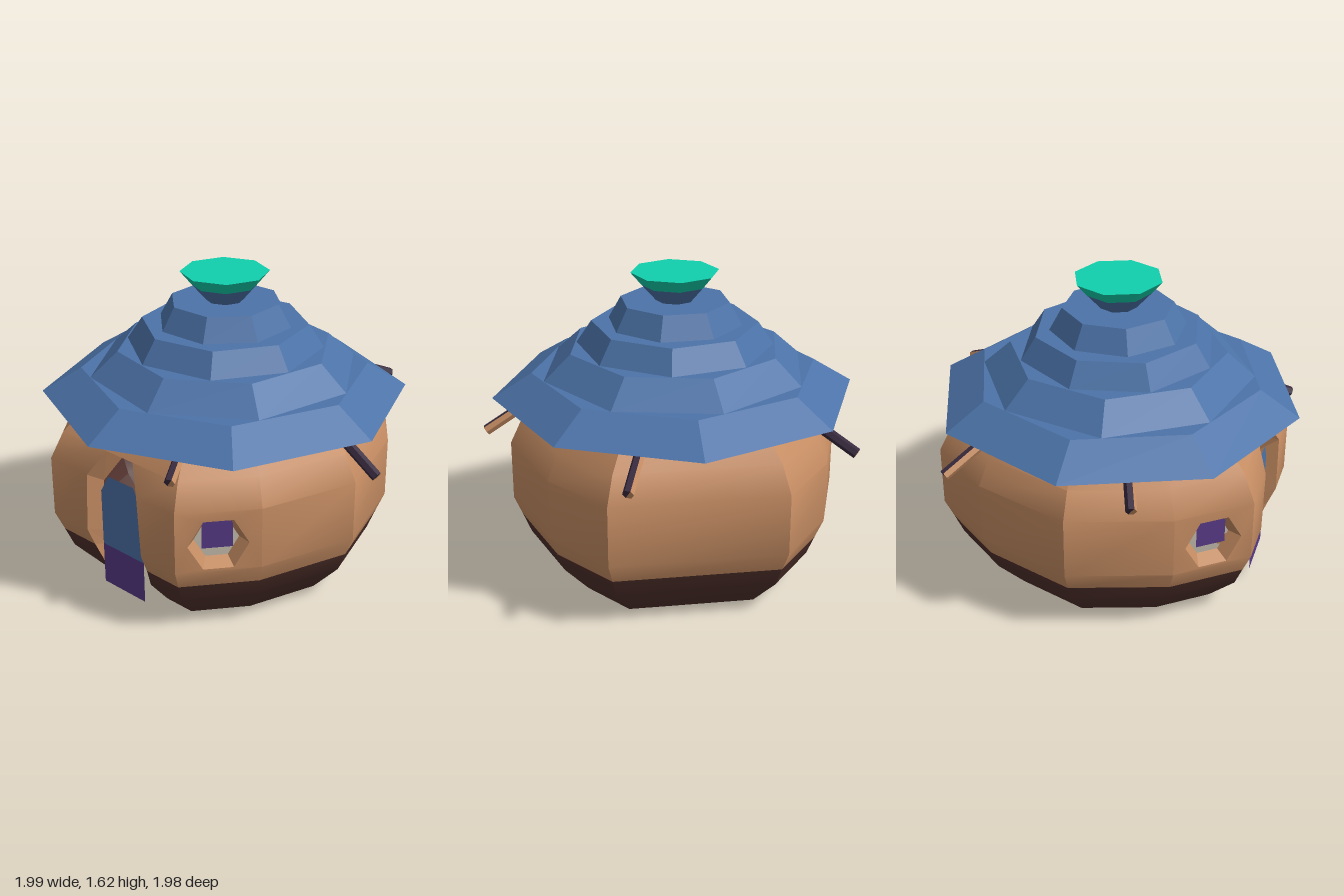
import * as THREE from 'three';
import { toCreasedNormals } from 'three/addons/utils/BufferGeometryUtils.js';

const mat = (name, color, extra = {}) => {
  const m = new THREE.MeshStandardMaterial({ color, ...extra });
  m.name = name;
  return m;
};

const V = (x, y, z) => new THREE.Vector3(x, y, z);

// Adds a quad, corners counter-clockwise from outside
const quad = (out, a, b, c, d) => {
  for (const p of [a, b, c, a, c, d]) out.push(p.x, p.y, p.z);
};

const fromPositions = (pos) => {
  const g = new THREE.BufferGeometry();
  g.setAttribute('position', new THREE.Float32BufferAttribute(pos, 3));
  g.computeVertexNormals();
  return g;
};

// Strip of flat faces joining two outlines
const rim = (outer, inner, closed) => {
  const pos = [];
  const n = outer.length;
  for (let i = 0; i < (closed ? n : n - 1); i++) {
    const j = (i + 1) % n;
    quad(pos, outer[i], outer[j], inner[j], inner[i]);
  }
  return fromPositions(pos);
};

const hexagon = (r, y, z) => Array.from({ length: 6 }, (_, i) =>
  V(r * Math.cos(i * Math.PI / 3), y + r * Math.sin(i * Math.PI / 3), z));

// Ground plan of the wall, from the front corner round to the right and back
const PLAN = [[-0.45, 0.845], [0.45, 0.845], [0.715, 0.51], [0.885, 0], [0.715, -0.51],
  [0.45, -0.845], [-0.45, -0.845], [-0.715, -0.51], [-0.885, 0], [-0.715, 0.51]];
// Wall rings: height, scale of the plan, half width of the doorway
const RINGS = [[0, 0.725, 0.14], [0.17, 0.9, 0.175], [0.28, 0.95, 0.195], [0.385, 1, 0.2],
  [0.71, 1, 0.18], [0.85, 0.925, 0.095], [0.99, 0.77, 0]];
const BASE_BANDS = 2, WINDOW_BAND = 3, DOOR_X = 0.01, WINDOW_Y = 0.53, WINDOW_R = 0.152;
const WINDOW_SIDES = [1, 9];

// Placement of a wall side: x along the wall, y up, z outward
function sideFrame(i) {
  const [ax, az] = PLAN[i], [bx, bz] = PLAN[(i + 1) % PLAN.length];
  const u = V(bx - ax, 0, bz - az);
  const width = u.length();
  u.normalize();
  const up = V(0, 1, 0);
  const matrix = new THREE.Matrix4().makeBasis(u, up, u.clone().cross(up));
  matrix.setPosition((ax + bx) / 2, 0, (az + bz) / 2);
  return { matrix, width };
}

// Flat wall panel with a six-sided hole
function windowPanel(out, i, y0, y1) {
  const { matrix, width } = sideFrame(i);
  const w = width / 2;
  const shape = new THREE.Shape([[-w, y0], [w, y0], [w, y1], [-w, y1]].map((p) => new THREE.Vector2(...p)));
  shape.holes.push(new THREE.Path(hexagon(WINDOW_R, WINDOW_Y, 0).map((p) => new THREE.Vector2(p.x, p.y)).reverse()));
  const g = new THREE.ShapeGeometry(shape).toNonIndexed().applyMatrix4(matrix);
  for (const v of g.attributes.position.array) out.push(v);
}

function wallGeometry() {
  const pos = [];
  let baseCount = 0;
  for (let k = 0; k < RINGS.length - 1; k++) {
    const [y0, s0, d0] = RINGS[k], [y1, s1, d1] = RINGS[k + 1];
    PLAN.forEach(([ax, az], i) => {
      const [bx, bz] = PLAN[(i + 1) % PLAN.length];
      const a0 = V(ax * s0, y0, az * s0), b0 = V(bx * s0, y0, bz * s0);
      const a1 = V(ax * s1, y1, az * s1), b1 = V(bx * s1, y1, bz * s1);
      if (i === 0 && d1 > 0) {
        // Wall on both sides of the doorway
        quad(pos, a0, V(DOOR_X - d0, y0, az * s0), V(DOOR_X - d1, y1, az * s1), a1);
        quad(pos, V(DOOR_X + d0, y0, az * s0), b0, b1, V(DOOR_X + d1, y1, az * s1));
      } else if (k === WINDOW_BAND && WINDOW_SIDES.includes(i)) {
        windowPanel(pos, i, y0, y1);
      } else {
        quad(pos, a0, b0, b1, a1);
      }
    });
    if (k === BASE_BANDS - 1) baseCount = pos.length / 3;
  }
  const g = toCreasedNormals(fromPositions(pos), 0.5);
  g.addGroup(0, baseCount, 0);
  g.addGroup(baseCount, pos.length / 3 - baseCount, 1);
  return g;
}

export function createModel() {
  const both = { side: THREE.DoubleSide };
  const clay = mat('clay', 0xc68d63, both);
  const darkBase = mat('dark base', 0x4f302b, both);
  const blue = mat('roof blue', 0x4c73a8, both);
  const green = mat('green', 0x10d0ac);
  const purple = mat('purple', 0x573a86, both);
  const darkWood = mat('dark wood', 0x382a3e);

  const model = new THREE.Group();
  const hut = new THREE.Group();
  hut.name = 'hut';
  hut.position.set(-0.03, 0, 0.02);
  model.add(hut);
  const add = (name, geometry, material, parent = hut) => {
    const m = new THREE.Mesh(geometry, material);
    m.name = name;
    parent.add(m);
    return m;
  };

  add('wall', wallGeometry(), [darkBase, clay]);

  // Doorway reveal, tapering inward
  const doorRings = RINGS.filter((r) => r[2] > 0);
  const outline = (shrink, drop, back) => {
    const side = (sign) => doorRings.map(([y, s, d]) =>
      V(DOOR_X + sign * d * shrink, y * drop, 0.845 * s - back));
    return [...side(1), ...side(-1).reverse()];
  };
  add('doorReveal', rim(outline(1, 1, 0), outline(0.86, 0.92, 0.09), false), clay);

  // Door leaf: purple lower half, blue arched upper half
  const leaf = (points) => new THREE.ShapeGeometry(
    new THREE.Shape(points.map((p) => new THREE.Vector2(...p)))).translate(0.015, 0, 0.786);
  add('doorLower', leaf([[-0.15, 0.07], [0.15, 0.07], [0.15, 0.3], [-0.15, 0.3]]), purple);
  add('doorUpper', leaf([[-0.15, 0.3], [0.15, 0.3], [0.15, 0.61], [0.09, 0.71], [-0.09, 0.71], [-0.15, 0.61]]), blue);

  // Windows: tapered reveal and a small shutter
  for (const i of WINDOW_SIDES) {
    const win = new THREE.Group();
    win.name = 'window';
    win.applyMatrix4(sideFrame(i).matrix);
    add('windowReveal', rim(hexagon(WINDOW_R, WINDOW_Y, 0), hexagon(WINDOW_R * 0.74, WINDOW_Y, -0.07), true), clay, win);
    add('shutter', new THREE.PlaneGeometry(0.155, 0.15).translate(0, 0.57, -0.037), purple, win);
    hut.add(win);
  }

  // Eight-sided tapered tier with a corner at the given plan angle
  const tier = (name, material, rBottom, rTop, y0, y1, degrees) => {
    const g = new THREE.CylinderGeometry(rTop, rBottom, y1 - y0, 8).toNonIndexed();
    g.computeVertexNormals();
    g.rotateY(-degrees * Math.PI / 180).translate(0, (y0 + y1) / 2, 0);
    return add(name, g, material);
  };
  [[0.97, 0.76, 0.97, 1.1, 0], [0.715, 0.57, 1.1, 1.23, -11],
    [0.52, 0.44, 1.23, 1.35, 10], [0.357, 0.29, 1.35, 1.47, 20]]
    .forEach((t) => tier('roofTier', blue, ...t));
  tier('finialLower', blue, 0.1, 0.175, 1.47, 1.555, 0);
  tier('finialUpper', green, 0.175, 0.232, 1.555, 1.622, 0);

  // Roof logs: outer end and slope, each half dark and half pale
  const logs = [[1.01, 0.79, 0, 0.64], [0.43, 0.88, 0.85, 0.42], [-0.895, 0.85, 0.345, 0.44],
    [-0.83, 0.82, -0.64, 0.5], [0.365, 0.85, -1.0, 0.42]];
  for (const [x, y, z, slope] of logs) {
    const log = new THREE.Group();
    log.name = 'roofLog';
    const flat = V(x, 0, z).normalize();
    const dir = flat.clone().setY(-slope).normalize();
    const left = V(0, 1, 0).cross(flat);
    const m = new THREE.Matrix4().makeBasis(left, dir, left.clone().cross(dir)).setPosition(x, y, z);
    log.applyMatrix4(m);
    const half = (start) => {
      const g = new THREE.CylinderGeometry(0.028, 0.028, 0.5, 3, 1, false, start, Math.PI).toNonIndexed();
      g.computeVertexNormals();
      return g.translate(0, -0.25, 0);
    };
    add('paleHalf', half(-Math.PI / 6), clay, log);
    add('darkHalf', half(Math.PI * 5 / 6), darkWood, log);
    hut.add(log);
  }
  return model;
}
